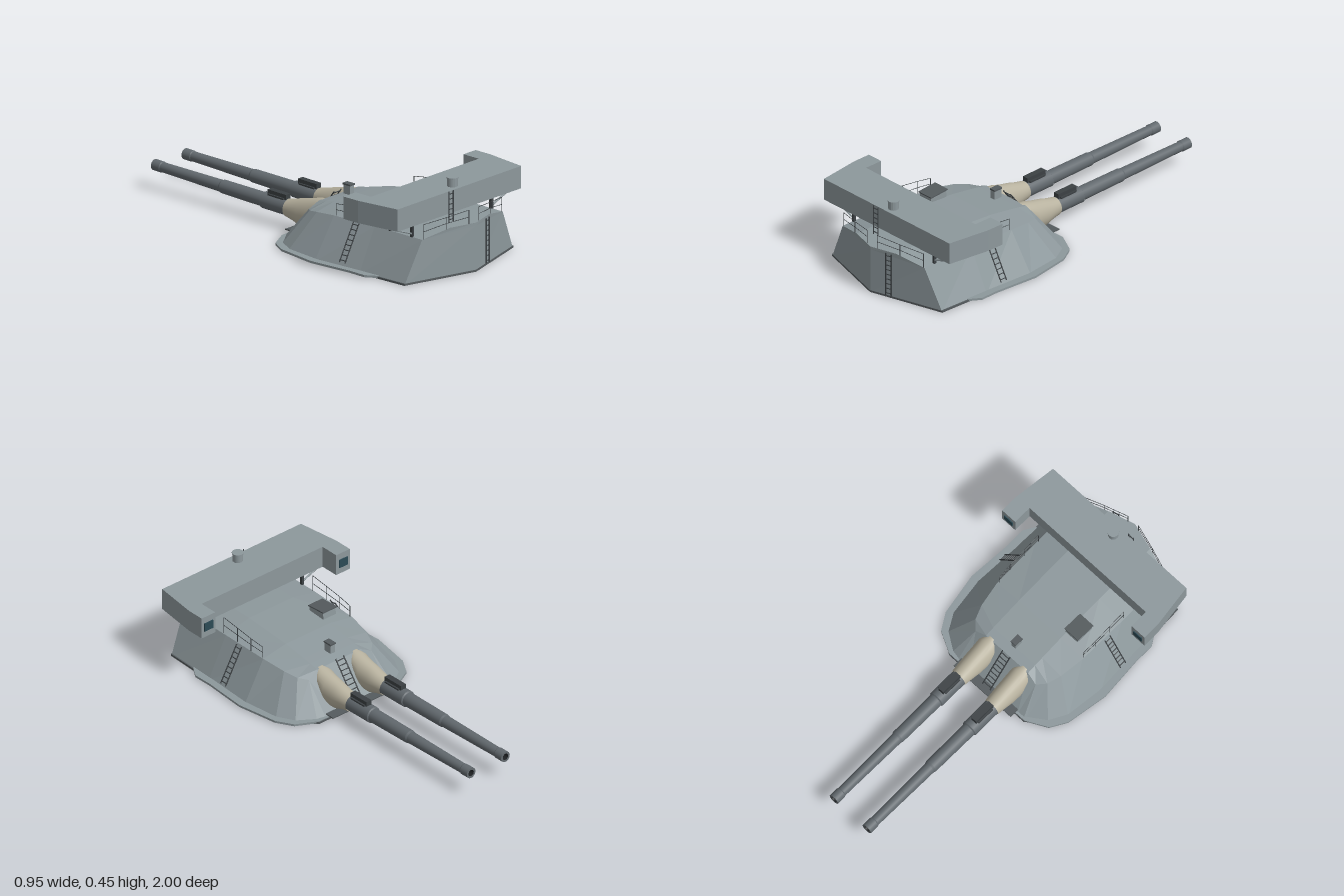
import * as THREE from 'three';

const mat = (color, flatShading = true, side = THREE.FrontSide) =>
  new THREE.MeshStandardMaterial({ color, flatShading, side });
const V = (x, y, z) => new THREE.Vector3(x, y, z);

export function createModel() {
  const root = new THREE.Group();
  const armour = mat(0x8d989c), hullMat = mat(0x8d989c, true, THREE.DoubleSide);
  const darkBase = mat(0x555b5e), steel = mat(0x3c4144);
  const gunMat = mat(0x62696e, false), boreMat = mat(0x202325);
  const canvas = mat(0xb8b29f, false, THREE.DoubleSide), glass = mat(0x2c4a55);

  const add = (geo, material, name, parent = root) => {
    const m = new THREE.Mesh(geo, material);
    m.name = name;
    parent.add(m);
    return m;
  };
  const group = (name, parent = root) => {
    const g = new THREE.Group();
    g.name = name;
    parent.add(g);
    return g;
  };
  const box = (w, h, d, x, y, z, material, name, parent) => {
    const m = add(new THREE.BoxGeometry(w, h, d), material, name, parent);
    m.position.set(x, y, z);
    return m;
  };
  // thin bar between two points
  const rod = (a, b, r, name, parent, material = steel) => {
    const m = add(new THREE.CylinderGeometry(r, r, a.distanceTo(b), 6), material, name, parent);
    m.position.copy(a).lerp(b, 0.5);
    m.quaternion.setFromUnitVectors(V(0, 1, 0), b.clone().sub(a).normalize());
  };
  // skin stretched over rows of points
  const loft = (rows, closed) => {
    const n = rows[0].length, idx = [];
    for (let r = 0; r < rows.length - 1; r++)
      for (let i = 0; i < (closed ? n : n - 1); i++) {
        const a = r * n + i, b = r * n + (i + 1) % n;
        idx.push(a, b, a + n, b, b + n, a + n);
      }
    const g = new THREE.BufferGeometry();
    g.setAttribute('position', new THREE.Float32BufferAttribute(rows.flat(2), 3));
    g.setIndex(idx);
    g.computeVertexNormals();
    return g;
  };
  // plan outline for x >= 0, mirrored and raised from y0 by h
  const slab = (half, y0, h) => {
    const pts = [...half, ...half.map(([x, z]) => [-x, z]).reverse()];
    const s = new THREE.Shape(pts.map(([x, z]) => new THREE.Vector2(x, -z)));
    return new THREE.ExtrudeGeometry(s, { depth: h, bevelEnabled: false })
      .rotateX(-Math.PI / 2).translate(0, y0, 0);
  };
  const ladder = (a, b, side, rungs, name, r = 0.0032) => {
    const g = group(name);
    for (const s of [-1, 1])
      rod(a.clone().addScaledVector(side, s), b.clone().addScaledVector(side, s), r, 'ladderRail', g);
    for (let i = 0; i < rungs; i++) {
      const p = a.clone().lerp(b, (i + 0.5) / rungs);
      rod(p.clone().sub(side), p.clone().add(side), r * 0.8, 'rung', g);
    }
  };
  const railing = (feet, heights, name) => {
    const g = group(name);
    feet.forEach((f, i) => {
      const up = (k) => V(f.x, f.y + heights[i] * k, f.z);
      rod(f, up(1), 0.0018, 'railPost', g);
      if (i) for (const k of [0.5, 1]) {
        const p = feet[i - 1];
        rod(V(p.x, p.y + heights[i - 1] * k, p.z), up(k), 0.0015, 'railBar', g);
      }
    });
  };

  // Armoured housing: base, roof edge and inner roof line at each station
  const stations = [
    [[0.24, 0, -0.04], [0.2, 0, -0.04], [0.12, 0, -0.04]],
    [[0.25, 0, -0.03], [0.2, 0.165, 0.09], [0.14, 0.195, 0.1]],
    [[0.34, 0, 0.03], [0.24, 0.175, 0.13], [0.14, 0.205, 0.15]],
    [[0.39, 0, 0.12], [0.265, 0.19, 0.2], [0.14, 0.213, 0.2]],
    [[0.415, 0, 0.32], [0.285, 0.207, 0.33], [0.14, 0.232, 0.33]],
    [[0.4, 0, 0.6], [0.29, 0.215, 0.6], [0.14, 0.25, 0.6]],
    [[0.39, 0, 0.885], [0.29, 0.215, 0.91], [0.14, 0.25, 0.957]],
    [[0, 0, 0.998], [0, 0.235, 0.998], [0, 0.25, 0.998]],
  ];
  add(loft(stations.map((h) => [...h, ...h.map(([x, y, z]) => [-x, y, z]).reverse()])),
    hullMat, 'housing');
  add(slab([[0, 1], [0.392, 0.887], [0.402, 0.6], [0.417, 0.32], [0.392, 0.115], [0.342, 0.025],
    [0.25, -0.045]], 0, 0.01), darkBase, 'basePlate');
  add(slab([[0.395, 0.72], [0.432, 0.66], [0.43, 0.56], [0.447, 0.32], [0.41, 0.1], [0.36, 0.015],
    [0.25, -0.042]], 0.003, 0.011), armour, 'sideFlange');
  box(0.38, 0.006, 0.07, 0, 0.02, -0.04, darkBase, 'frontStep');

  // Rangefinder bridge with forward-facing end boxes
  const bridge = group('rangefinder');
  add(slab([[0.445, 0.89], [0.475, 0.66], [0.475, 0.565], [0.388, 0.565], [0.388, 0.665]], 0.29, 0.114),
    armour, 'rangefinderBody', bridge);
  for (const s of [-1, 1]) {
    box(0.055, 0.045, 0.006, s * 0.432, 0.347, 0.563, glass, 'lensWindow', bridge);
    for (const z of [0.7, 0.84]) {
      box(0.012, 0.08, 0.016, s * 0.285, 0.252, z, steel, 'bridgePost', bridge);
      rod(V(s * 0.285, 0.23, z), V(s * 0.44, 0.29, z), 0.005, 'bridgeStrut', bridge, armour);
    }
  }
  const vent = add(new THREE.CylinderGeometry(0.026, 0.026, 0.046, 16), armour, 'vent', bridge);
  vent.position.set(0, 0.424, 0.845);
  const cap = add(new THREE.CylinderGeometry(0.029, 0.029, 0.006, 16), armour, 'ventCap', bridge);
  cap.position.set(0, 0.447, 0.845);

  // Roof fittings
  box(0.08, 0.04, 0.1, -0.175, 0.252, 0.42, armour, 'roofHatch').rotation.x = 0.08;
  box(0.09, 0.006, 0.11, -0.175, 0.272, 0.42, darkBase, 'hatchLid').rotation.x = 0.08;
  box(0.028, 0.05, 0.045, 0, 0.235, 0.167, armour, 'periscope');
  box(0.034, 0.008, 0.05, 0, 0.26, 0.167, darkBase, 'periscopeHood');

  // Ladders
  ladder(V(0.108, 0.015, 0.978), V(0.108, 0.245, 0.978), V(0.015, 0, -0.004), 9, 'rearLadder');
  ladder(V(-0.068, 0.25, 0.898), V(-0.068, 0.406, 0.898), V(0.016, 0, 0), 6, 'bridgeLadder');
  ladder(V(0, 0.025, -0.045), V(0, 0.21, 0.095), V(0.025, 0, 0), 9, 'frontLadder');
  for (const s of [-1, 1])
    ladder(V(s * 0.403, 0.03, 0.49), V(s * 0.3, 0.212, 0.49), V(0, 0, 0.018), 8, 'sideLadder');

  // Railings
  for (const s of [-1, 1]) {
    railing([V(s * 0.283, 0.216, 0.91), V(s * 0.16, 0.245, 0.95), V(s * 0.035, 0.25, 0.985)],
      [0.074, 0.06, 0.07], 'rearRailing');
    railing([V(s * 0.285, 0.214, 0.62), V(s * 0.285, 0.212, 0.52), V(s * 0.285, 0.209, 0.42),
      V(s * 0.28, 0.206, 0.34)], [0.09, 0.08, 0.07, 0.062], 'sideRailing');
  }

  // Guns with canvas blast bags
  const profile = [[0, -0.05], [0.042, -0.05], [0.042, 0.18], [0.036, 0.185], [0.034, 0.45], [0.03, 0.46],
    [0.025, 0.84], [0.025, 0.845], [0.028, 0.85], [0.028, 0.9], [0.017, 0.9], [0.017, 0.86], [0, 0.86]];
  // sharp steps come from splitting the profile into separate bands
  const bags = [[-0.125, 0.1, 0.045, 0.045], [-0.08, 0.1, 0.05, 0.055], [-0.03, 0.098, 0.055, 0.072],
    [0.03, 0.103, 0.058, 0.08], [0.075, 0.14, 0.055, 0.055], [0.11, 0.17, 0.035, 0.03]];
  for (const s of [-1, 1]) {
    const gun = group('gun');
    gun.position.set(s * 0.11, 0.101, -0.1);
    gun.rotation.x = 0.022;
    for (let i = 1; i < profile.length; i++) {
      const band = [profile[i - 1], profile[i]].map(([r, y]) => new THREE.Vector2(r, y));
      add(new THREE.LatheGeometry(band, 24).rotateX(-Math.PI / 2), i > 10 ? boreMat : gunMat, 'barrelBand', gun);
    }
    box(0.032, 0.026, 0.12, 0, 0.052, -0.09, steel, 'sleeveBlock', gun);
    box(0.05, 0.008, 0.1, 0, 0.042, -0.09, steel, 'sleevePlate', gun);
    const rings = bags.map(([z, y, rx, ry]) => Array.from({ length: 24 }, (_, i) => {
      const t = i / 24 * Math.PI * 2;
      return [s * 0.11 + Math.cos(t) * rx, y + Math.sin(t) * ry, z];
    }));
    add(loft(rings, true), canvas, 'blastBag');
  }
  return root;
}
